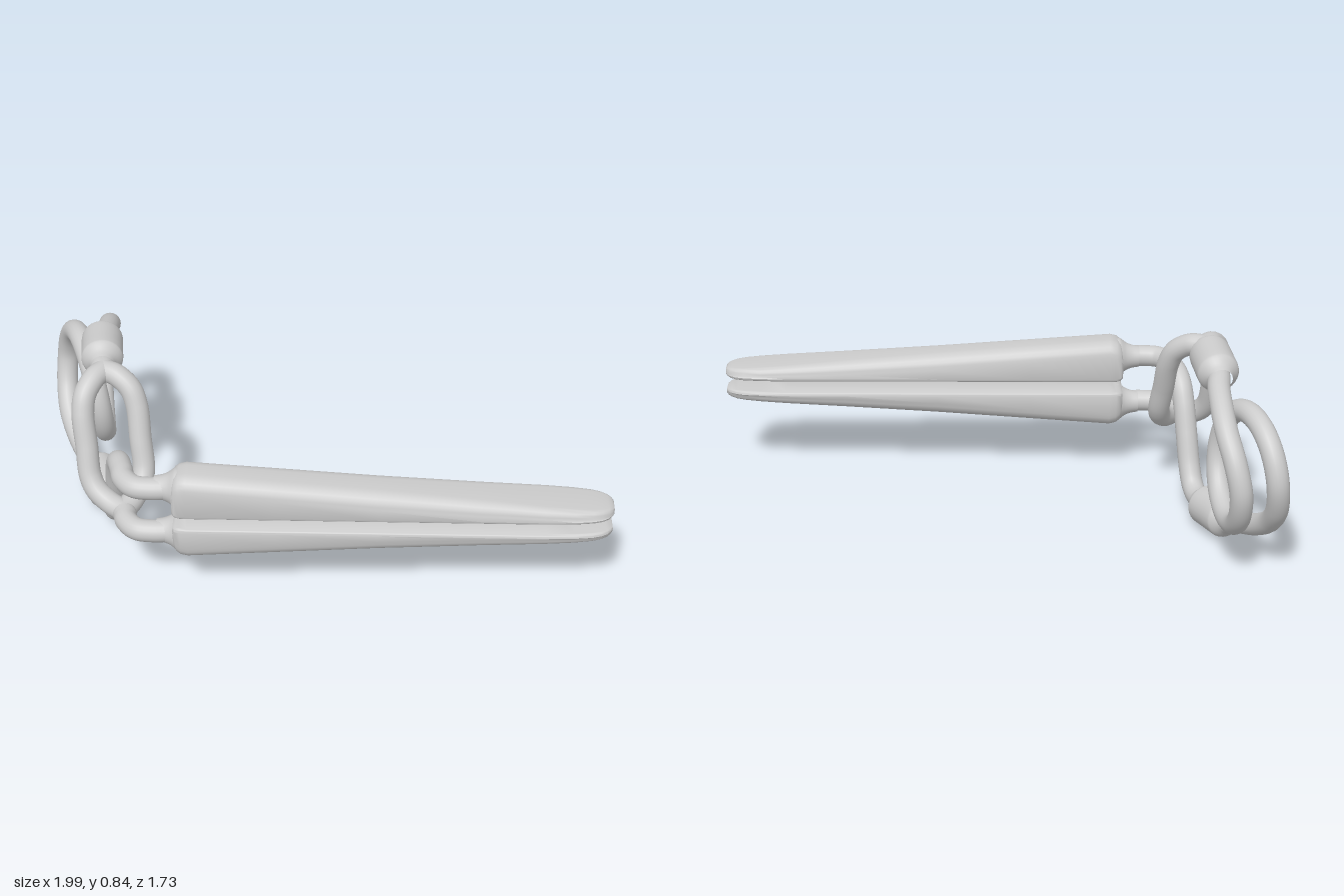
import * as THREE from 'three';
import { toCreasedNormals } from 'three/addons/utils/BufferGeometryUtils.js';

const V = (x, y, z) => new THREE.Vector3(x, y, z);
const WIRE = 0.045;
const material = new THREE.MeshStandardMaterial({ color: 0xcccccc, roughness: 0.6 });

function mesh(name, geometry) {
  const m = new THREE.Mesh(geometry, material);
  m.name = name;
  return m;
}

function wire(name, points, segments = 80) {
  const curve = new THREE.CatmullRomCurve3(points, false, 'centripetal');
  return mesh(name, new THREE.TubeGeometry(curve, segments, WIRE, 20));
}

const lathe = (pts) => new THREE.LatheGeometry(
  new THREE.SplineCurve(pts.map(([r, y]) => new THREE.Vector2(r, y))).getPoints(32), 28);

// Blade cross-section: flat inner face, generously rounded back
function bladeSection(u, w, h, base) {
  const rb = Math.min(0.014, h * 0.3, w * 0.5);
  const rt = Math.min(0.06, h * 0.6, w * 0.8);
  const wt = w - 0.1 * h;
  const corners = [
    [wt - rt, h - rt, rt, 0], [-wt + rt, h - rt, rt, 1],
    [-w + rb, rb, rb, 2], [w - rb, rb, rb, 3],
  ];
  const pts = [];
  for (const [cx, cy, r, q] of corners) {
    for (let k = 0; k <= 6; k++) {
      const a = (q + k / 6) * Math.PI / 2;
      pts.push(V(u, base + cy + r * Math.sin(a), -(cx + r * Math.cos(a))));
    }
  }
  return pts;
}

// Blade lofted along local x, thick at the root and rounded at the tip
function bladeGeometry() {
  const height = (u) => 0.17 - 0.125 * (u + 0.65) / 1.62;
  const stations = [
    [-0.695, 0.085, 0.125, 0.01], [-0.685, 0.097, 0.148, 0.003], [-0.668, 0.103, 0.163, 0],
    [-0.64, 0.105], [-0.3, 0.105], [0.1, 0.105], [0.5, 0.105], [0.75, 0.105],
    [0.86, 0.101], [0.93, 0.093], [0.965, 0.083], [0.99, 0.068, 0.04, 0.002],
    [1.004, 0.052, 0.034, 0.005], [1.013, 0.036, 0.022, 0.01],
  ];
  const rings = stations.map(([u, w, h = height(u), lift = 0]) => bladeSection(u, w, h, 0.025 + lift));
  const n = rings[0].length;
  const verts = rings.flat();
  const index = [];
  for (let i = 0; i < rings.length - 1; i++) {
    for (let j = 0; j < n; j++) {
      const a = i * n + j, b = i * n + (j + 1) % n;
      index.push(a, b, b + n, a, b + n, a + n);
    }
  }
  // End caps
  const last = (rings.length - 1) * n;
  for (const [start, flip] of [[0, true], [last, false]]) {
    const centre = rings[start / n].reduce((s, p) => s.add(p), V(0, 0, 0)).divideScalar(n);
    verts.push(centre);
    for (let j = 0; j < n; j++) {
      const a = start + j, b = start + (j + 1) % n;
      index.push(verts.length - 1, flip ? b : a, flip ? a : b);
    }
  }
  const g = new THREE.BufferGeometry().setFromPoints(verts);
  g.setIndex(index);
  return toCreasedNormals(g, 0.7);
}

export function createModel() {
  const model = new THREE.Group();
  model.name = 'springClip';

  // Wire parts are laid out around the clip's own axis
  const spring = new THREE.Group();
  spring.name = 'springBody';
  spring.position.set(-0.845, 0.43, 0);
  model.add(spring);

  // Coil: one and a half turns, symmetric under a half turn about z
  const half = [
    V(0, 0.34, -0.2), V(0.018, 0.335, -0.33), V(0.04, 0.322, -0.44), V(0.065, 0.302, -0.51),
    V(0.088, 0.262, -0.61), V(0.1, 0.2, -0.705), V(0.092, 0.11, -0.785), V(0.076, 0, -0.82),
  ];
  for (let k = 1; k < 8; k++) {
    const a = k * Math.PI / 8;
    half.push(V(0.076 * (1 - k / 8), -0.22 * Math.sin(a), -0.6 - 0.22 * Math.cos(a)));
  }
  const otherHalf = half.map((p) => V(-p.x, -p.y, p.z)).reverse();
  spring.add(wire('coil', [...half, V(0, 0, -0.38), ...otherHalf], 260));

  // Collars where the coil meets the arms
  const collar = lathe([[0.046, -0.01], [0.056, 0.015], [0.08, 0.045], [0.084, 0.065], [0.084, 0.13],
    [0.084, 0.2], [0.079, 0.222], [0.056, 0.25], [0.045, 0.275]]);
  for (const s of [1, -1]) {
    const c = mesh(s > 0 ? 'upperCollar' : 'lowerCollar', collar);
    c.position.set(0, s * 0.342, -0.2);
    c.quaternion.setFromUnitVectors(V(0, 1, 0), V(s * 0.15, s * -0.08, -1).normalize());
    spring.add(c);
  }

  // Arms cross over: the forked one straddles the single one
  const armEnd = (s) => [V(0, s * -0.105, 0.2), V(0, s * -0.105, 0.25), V(0.03, s * -0.105, 0.31),
    V(0.09, s * -0.105, 0.338), V(0.19, s * -0.105, 0.357)];
  spring.add(wire('singleArm', [
    V(0, -0.34, -0.24), V(0, -0.34, -0.15), V(0, -0.315, -0.1), V(0, -0.25, -0.055),
    V(0, -0.12, -0.004), V(0, 0, 0.043), V(0, 0.06, 0.08), V(0, 0.095, 0.13), ...armEnd(-1),
  ], 120));
  spring.add(wire('forkedArmEnd', armEnd(1)));
  for (const side of [1, -1]) {
    spring.add(wire(side > 0 ? 'leftForkLeg' : 'rightForkLeg', [
      V(0, 0.34, -0.23), V(0, 0.34, -0.17), V(side * 0.045, 0.335, -0.125), V(side * 0.09, 0.295, -0.08),
      V(side * 0.108, 0.23, -0.047), V(side * 0.108, 0.1, 0.003), V(side * 0.108, -0.01, 0.048),
      V(side * 0.09, -0.06, 0.085), V(side * 0.045, -0.095, 0.135), V(0, -0.105, 0.19), V(0, -0.105, 0.23),
    ], 100));
  }

  // Pair of blades, the lower one turned over about the shared axis
  const jaws = new THREE.Group();
  jaws.name = 'blades';
  jaws.position.set(0, 0.43, 0.53);
  jaws.rotation.y = -THREE.MathUtils.degToRad(15);
  model.add(jaws);
  const bladeGeo = bladeGeometry();
  const neckGeo = lathe([[0.045, -0.765], [0.05, -0.735], [0.06, -0.71], [0.078, -0.685], [0.08, -0.67]]);
  for (const upper of [true, false]) {
    const blade = new THREE.Group();
    blade.name = upper ? 'upperBlade' : 'lowerBlade';
    blade.rotation.x = upper ? 0 : Math.PI;
    const neck = mesh('bladeNeck', neckGeo);
    neck.rotation.z = -Math.PI / 2;
    neck.position.y = 0.106;
    blade.add(mesh('blade', bladeGeo), neck);
    jaws.add(blade);
  }
  return model;
}
